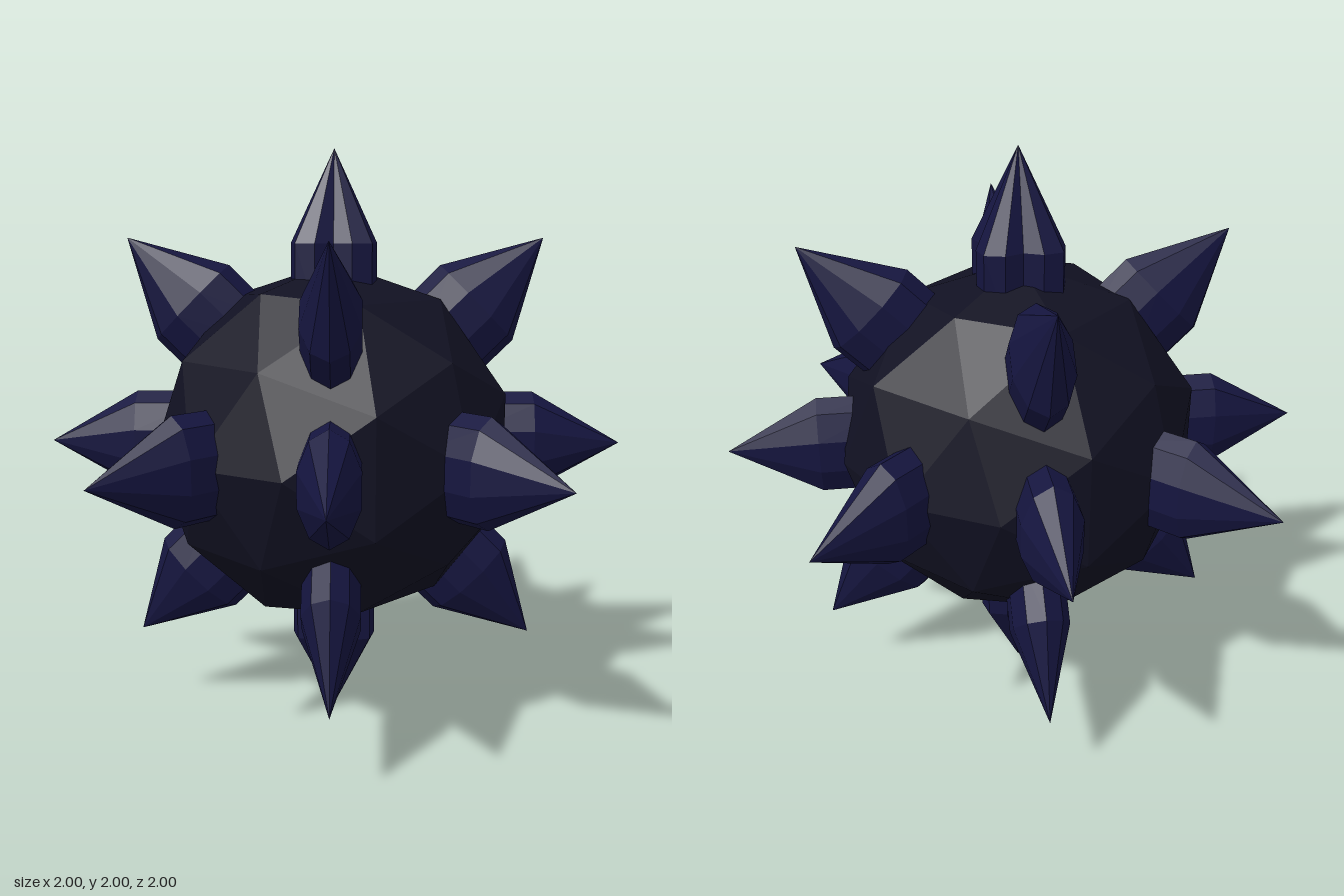
import * as THREE from 'three';

export function createModel() {
  const model = new THREE.Group();
  model.name = 'spikedBall';
  const bodyMat = new THREE.MeshStandardMaterial({ color: 0x111122, flatShading: true });
  const spikeMat = new THREE.MeshStandardMaterial({ color: 0x15153f, flatShading: true });

  // faceted core
  const core = new THREE.Mesh(new THREE.IcosahedronGeometry(0.625, 1).rotateY(Math.PI / 2), bodyMat);
  core.name = 'core';
  core.position.y = 1;
  model.add(core);

  // ten-sided flattened spike: short shaft, then a point; wide along local z
  const profile = [[1, 0.48], [1, 0.69], [0, 1]].map(([r, y]) => new THREE.Vector2(r, y));
  const spikeGeo = new THREE.LatheGeometry(profile, 10).scale(0.1, 1, 0.18);

  function addSpike(name, dir, wide) {
    const spike = new THREE.Mesh(spikeGeo, spikeMat);
    const side = new THREE.Vector3().crossVectors(dir, wide);
    spike.quaternion.setFromRotationMatrix(new THREE.Matrix4().makeBasis(side, dir, wide));
    spike.position.y = 1;
    spike.name = name;
    model.add(spike);
  }

  // spike at an azimuth and elevation, its blade standing in the vertical plane
  function addRingSpike(name, azimuth, elevation) {
    const c = Math.cos(elevation), s = Math.sin(elevation);
    const x = Math.sin(azimuth), z = Math.cos(azimuth);
    addSpike(name, new THREE.Vector3(x * c, s, z * c), new THREE.Vector3(-x * s, c, -z * s));
  }

  const q = Math.PI / 4;
  // eight spikes around the middle
  for (let i = 0; i < 8; i++) addRingSpike('middleSpike', i * q, 0);
  // four slanted spikes above and four below
  for (let i = 1; i < 8; i += 2) {
    addRingSpike('upperSpike', i * q, q);
    addRingSpike('lowerSpike', i * q, -q);
  }
  // two crossed blades at each pole
  for (const s of [1, -1]) {
    for (const wide of [new THREE.Vector3(1, 0, 0), new THREE.Vector3(0, 0, 1)]) {
      addSpike(s > 0 ? 'topSpike' : 'bottomSpike', new THREE.Vector3(0, s, 0), wide);
    }
  }
  return model;
}
